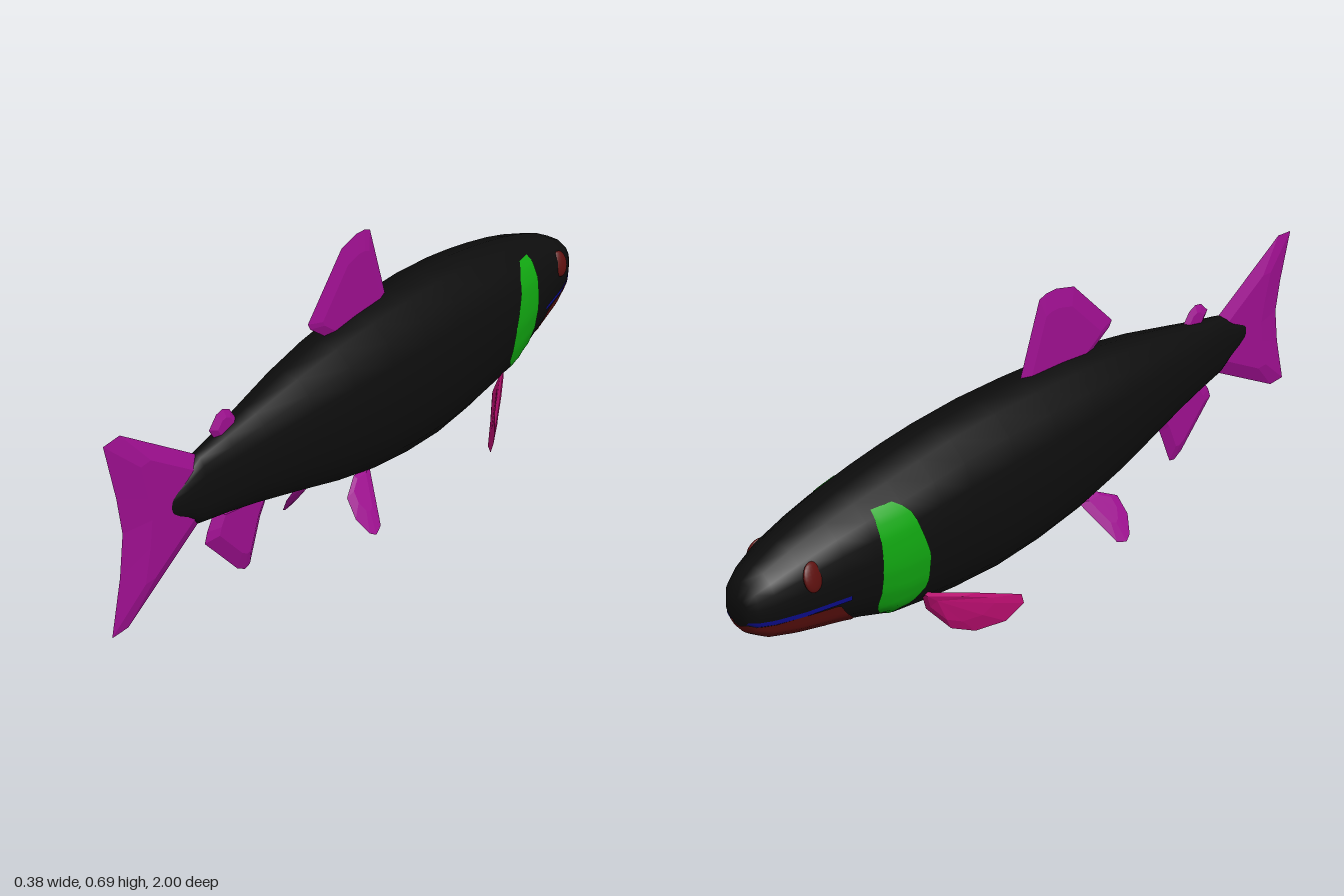
import * as THREE from 'three';
import { mergeVertices } from 'three/addons/utils/BufferGeometryUtils.js';

const mat = (name, color, side = THREE.DoubleSide) => {
  const m = new THREE.MeshStandardMaterial({ color, side });
  m.name = name;
  return m;
};

// body stations: z, top y, bottom y, half width (head at -z)
const STATIONS = [
  [-1, 0.345, 0.285, 0.035], [-0.985, 0.38, 0.258, 0.05], [-0.95, 0.402, 0.235, 0.066],
  [-0.88, 0.43, 0.212, 0.085], [-0.78, 0.456, 0.185, 0.1], [-0.7, 0.472, 0.16, 0.111],
  [-0.6, 0.487, 0.122, 0.121], [-0.5, 0.499, 0.105, 0.125], [-0.4, 0.508, 0.09, 0.126],
  [-0.25, 0.513, 0.077, 0.126], [-0.1, 0.508, 0.081, 0.123], [0.05, 0.499, 0.096, 0.116],
  [0.2, 0.482, 0.123, 0.103], [0.35, 0.457, 0.158, 0.084], [0.5, 0.424, 0.19, 0.06],
  [0.6, 0.402, 0.207, 0.042], [0.69, 0.385, 0.22, 0.028], [0.74, 0.355, 0.25, 0.022],
  [0.79, 0.335, 0.272, 0.016], [0.825, 0.312, 0.29, 0.006],
];
// half cross-section, bottom to top: y, x (both normalised)
const SECTION = [[-1, 0], [-0.9, 0.5], [-0.72, 0.76], [-0.42, 0.92], [-0.08, 1],
  [0.15, 1], [0.45, 0.96], [0.72, 0.8], [0.93, 0.48], [1, 0]];

// linear lookup in a table keyed by its first column
function lookup(table, k) {
  let i = 0;
  while (i < table.length - 2 && k > table[i + 1][0]) i++;
  const a = table[i], b = table[i + 1];
  const t = THREE.MathUtils.clamp((k - a[0]) / (b[0] - a[0]), 0, 1);
  return a.map((v, j) => v + (b[j] - v) * t);
}

// half width of the body at a given z and y
function surfaceX(z, y) {
  const [, top, bottom, w] = lookup(STATIONS, z);
  return w * lookup(SECTION, (2 * y - top - bottom) / (top - bottom))[1];
}

// grid surface from a rule f(i, j) -> [x, y, z]
function gridGeometry(rows, cols, f) {
  const pos = [], index = [];
  for (let i = 0; i <= rows; i++) for (let j = 0; j <= cols; j++) pos.push(...f(i, j));
  for (let i = 0; i < rows; i++) for (let j = 0; j < cols; j++) {
    const a = i * (cols + 1) + j, c = a + cols + 1;
    index.push(a, c, a + 1, a + 1, c, c + 1);
  }
  let g = new THREE.BufferGeometry();
  g.setAttribute('position', new THREE.Float32BufferAttribute(pos, 3));
  g.setIndex(index);
  g = mergeVertices(g, 1e-5);
  g.computeVertexNormals();
  return g;
}

// thin fin: sharp outline rising to a raised inset on both faces
function finGeometry(outline, anchor, thick, inset) {
  const A = new THREE.Vector3(...anchor);
  const P = outline.map((p) => new THREE.Vector3(...p));
  const n = new THREE.Vector3();
  P.forEach((p, i) => n.add(p.clone().sub(A).cross(P[(i + 1) % P.length].clone().sub(A))));
  n.normalize();
  const pos = [];
  const tri = (...v) => v.forEach((p) => pos.push(p.x, p.y, p.z));
  for (const s of [1, -1]) {
    const off = n.clone().multiplyScalar(s * thick);
    const top = A.clone().add(off);
    P.forEach((p, i) => {
      let a = p, b = P[(i + 1) % P.length];
      if (s < 0) [a, b] = [b, a];
      const ai = A.clone().lerp(a, inset).add(off), bi = A.clone().lerp(b, inset).add(off);
      tri(a, b, bi);
      tri(a, bi, ai);
      tri(top, ai, bi);
    });
  }
  const g = new THREE.BufferGeometry();
  g.setAttribute('position', new THREE.Float32BufferAttribute(pos, 3));
  g.computeVertexNormals();
  return g;
}

export function createModel() {
  const group = new THREE.Group();
  const skin = mat('black skin', 0x0d0d0d, THREE.FrontSide);
  const purple = mat('purple fin', 0x9c0f8e);
  const pink = mat('pink fin', 0xc40f76);
  const green = mat('green gill', 0x11a611);
  const red = mat('dark red', 0x5c100e);
  const blue = mat('blue lip', 0x0c0c8c);
  const add = (name, geometry, material) => {
    const m = new THREE.Mesh(geometry, material);
    m.name = name;
    group.add(m);
    return m;
  };

  // body, closed at both ends by collapsed rows
  const half = SECTION.length - 1, n = STATIONS.length;
  add('body', gridGeometry(n + 1, half * 2, (i, j) => {
    const [z, top, bottom, w] = STATIONS[THREE.MathUtils.clamp(i - 1, 0, n - 1)];
    const k = i === 0 || i === n + 1 ? 0 : 1;
    const [sy, sx] = SECTION[j <= half ? half - j : j - half];
    return [(j <= half ? 1 : -1) * sx * w * k, (top + bottom) / 2 + sy * k * (top - bottom) / 2, z];
  }), skin);

  // lower jaw shell; table gives z and mouth line height
  const MOUTH = [[-1, 0.287], [-0.88, 0.277], [-0.79, 0.265], [-0.765, 0.23], [-0.7, 0.163]];
  add('lowerJaw', gridGeometry(24, 24, (i, j) => {
    const z = -0.999 + 0.299 * (i / 24), v = j / 12 - 1;
    const bottom = lookup(STATIONS, z)[2];
    const y = bottom + Math.max(0, lookup(MOUTH, z)[1] - bottom) * v * v;
    return [Math.sign(v) * (surfaceX(z, y) + 0.003), y - 0.003 * (1 - v * v), z - 0.001];
  }), red);

  // gill covers: y, front z, rear z
  const GILL = [[0.147, -0.635, -0.61], [0.165, -0.65, -0.575], [0.2, -0.68, -0.538],
    [0.29, -0.68, -0.54], [0.35, -0.68, -0.56], [0.42, -0.68, -0.585], [0.445, -0.675, -0.62]];
  // dorsal-to-ventral paired features
  const PECTORAL = [[0.09, 0.175, -0.54], [0.145, 0.138, -0.42], [0.19, 0.1, -0.312], [0.191, 0.073, -0.305],
    [0.165, 0.03, -0.34], [0.125, 0.016, -0.4], [0.1, 0.04, -0.455], [0.075, 0.11, -0.51]];
  const PELVIC = [[0.125, 0.06], [0.01, 0.125], [0.0, 0.155], [0.01, 0.175], [0.05, 0.197], [0.095, 0.19], [0.125, 0.13]];
  const pelvicPoint = (s, y, z) => [s * (0.05 + (0.125 - y) * 0.63), y, z];
  for (const s of [1, -1]) {
    const side = s > 0 ? 'left' : 'right';
    add(side + 'GillCover', gridGeometry(18, 8, (i, j) => {
      const y = 0.147 + 0.298 * (i / 18), [, a, b] = lookup(GILL, y);
      const z = a + (b - a) * (j / 8);
      return [s * (surfaceX(z, y) + 0.003), y, z];
    }), green);

    add(side + 'Lip', gridGeometry(16, 2, (i, j) => {
      const z = -1 + 0.24 * (i / 16);
      const y = 0.287 - 0.022 * (i / 16) + 0.006 * j;
      return [s * (surfaceX(z, y) + 0.002), y, z - 0.0005];
    }), blue);

    const eye = add(side + 'Eye', new THREE.SphereGeometry(1, 16, 12), red);
    eye.scale.set(0.01, 0.035, 0.029);
    eye.position.set(s * (surfaceX(-0.858, 0.365) - 0.002), 0.365, -0.858);
    eye.rotation.set(0, -s * 0.17, s * 0.25);

    add(side + 'PectoralFin', finGeometry(PECTORAL.map(([x, y, z]) => [s * x, y, z]),
      [s * 0.1, 0.14, -0.5], 0.005, 0.65), pink);
    add(side + 'PelvicFin', finGeometry(PELVIC.map(([y, z]) => pelvicPoint(s, y, z)),
      pelvicPoint(s, 0.105, 0.13), 0.006, 0.55), purple);
  }

  // fins on the centre plane: outline and anchor as [z, y]
  const flat = ([z, y]) => [0, y, z];
  const FINS = {
    tailFin: [[[0.68, 0.38], [0.945, 0.525], [1, 0.52], [0.965, 0.39], [0.95, 0.305], [0.965, 0.21],
      [1, 0.085], [0.945, 0.085], [0.68, 0.225]], [0.73, 0.305], 0.014, 0.62],
    dorsalFin: [[[-0.1, 0.49], [-0.025, 0.685], [0.0, 0.692], [0.035, 0.692], [0.1, 0.675],
      [0.245, 0.535], [0.235, 0.52], [0.16, 0.475]], [0.04, 0.5], 0.008, 0.75],
    adiposeFin: [[[0.53, 0.405], [0.56, 0.442], [0.585, 0.452], [0.61, 0.447], [0.638, 0.42],
      [0.62, 0.395], [0.57, 0.39]], [0.58, 0.405], 0.008, 0.6],
    analFin: [[[0.425, 0.175], [0.45, 0.14], [0.495, 0.038], [0.515, 0.033], [0.545, 0.048], [0.665, 0.16],
      [0.655, 0.185], [0.63, 0.22], [0.45, 0.195]], [0.53, 0.18], 0.012, 0.7],
  };
  for (const [name, [outline, anchor, thick, inset]] of Object.entries(FINS))
    add(name, finGeometry(outline.map(flat), flat(anchor), thick, inset), purple);

  return group;
}
